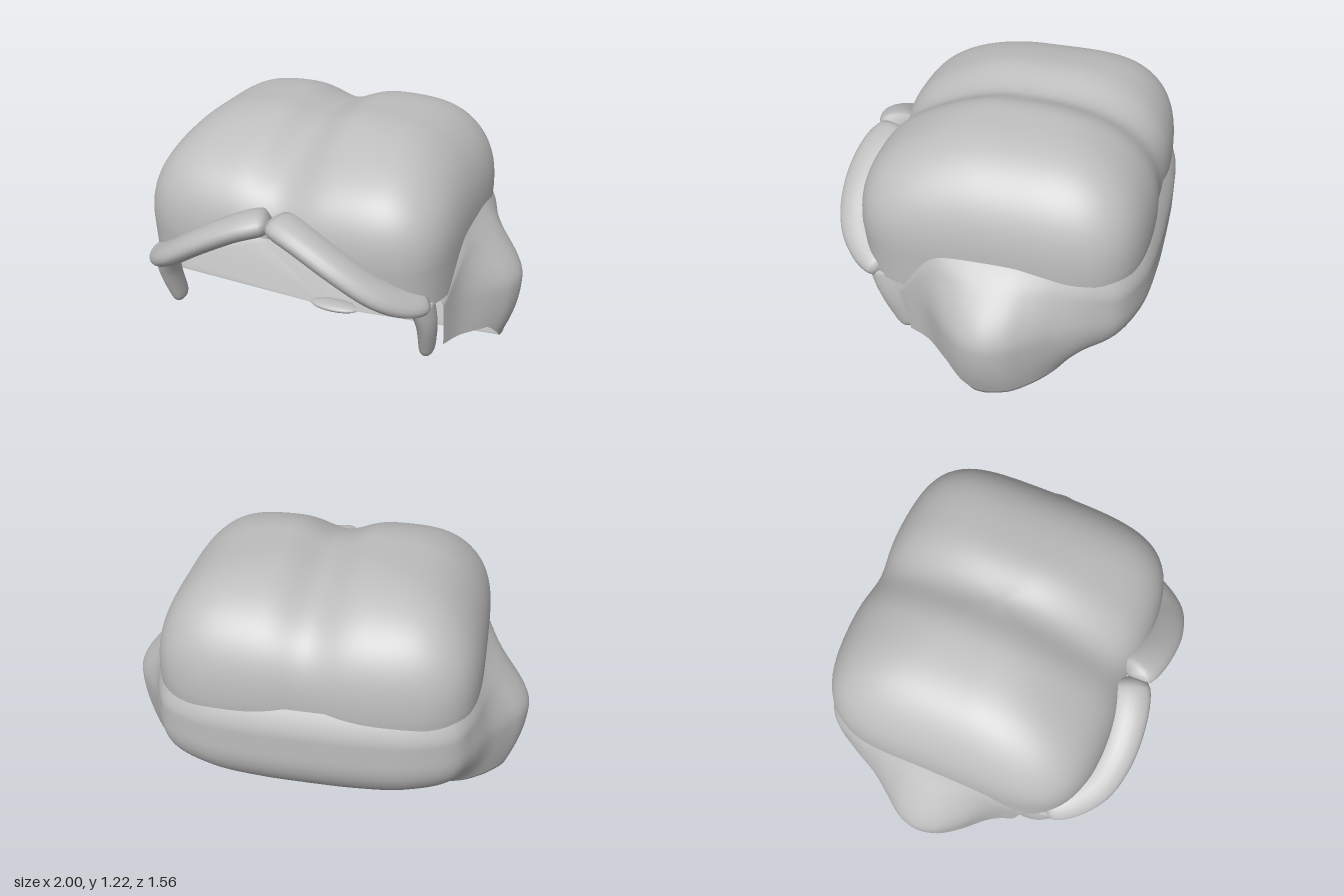
import * as THREE from 'three';
import { mergeVertices } from 'three/addons/utils/BufferGeometryUtils.js';

const { lerp, clamp, smoothstep } = THREE.MathUtils;

// Smooth surface from a rule fn(u, v) -> [x, y, z], with matching seams welded
function surface(cols, rows, fn) {
  const pos = [], index = [];
  for (let j = 0; j <= rows; j++)
    for (let i = 0; i <= cols; i++) pos.push(...fn(i / cols, j / rows));
  for (let j = 0; j < rows; j++)
    for (let i = 0; i < cols; i++) {
      const a = j * (cols + 1) + i, b = a + cols + 1;
      index.push(a, b, a + 1, a + 1, b, b + 1);
    }
  const g = new THREE.BufferGeometry();
  g.setAttribute('position', new THREE.Float32BufferAttribute(pos, 3));
  g.setIndex(index);
  const welded = mergeVertices(g, 1e-5);
  welded.computeVertexNormals();
  return welded;
}

// Lower rim of the cap: an arch over the face, lower at the sides
function capRim(x, z) {
  const ax = Math.abs(x);
  if (z < 0.2) return z < -0.5 ? 0.6 : 0.52;
  const arch = ax < 0.3 ? lerp(0.88, 0.78, ax / 0.3) : lerp(0.78, 0.51, (ax - 0.3) / 0.36);
  return Math.max(0.51, arch);
}

// Two-lobed rounded cap with a centre parting and a lower forehead
function capPoint(u, v) {
  const a = u * Math.PI * 2, c = Math.cos(a), s = Math.sin(a), n = 4.5;
  const r = 1 / (Math.abs(c) ** n + Math.abs(s) ** n) ** (1 / n);
  const ex = c * r * 0.765, ez = s * r * 0.69;
  let y;
  if (v <= 0.8) {
    const phi = (v / 0.8) * Math.PI / 2;
    y = 0.72 + 0.51 * Math.max(0, Math.cos(phi)) ** 0.83;
  } else y = lerp(0.72, 0.5, (v - 0.8) / 0.2);
  y = Math.max(y, capRim(ex, ez - 0.06));
  const h = clamp((y - 0.72) / 0.51, 0, 1);
  const rad = Math.max(0, 1 - h ** 2.45) ** (1 / 2.45);
  const x = ex * rad, z = ez * rad;
  const part = Math.exp(-((x / 0.14) ** 2));
  const under = y < 0.72 ? (0.72 - y) * 0.12 : 0;
  const shoulder = 0.03 * smoothstep(Math.abs(x), 0.25, 0.6);
  const forehead = 0.06 * smoothstep(z, 0.05, 0.55);
  return [
    x * (1 - under * 0.3),
    y + h * (0.01 - 0.07 * part + shoulder - forehead),
    z * (1 - 0.035 * part * rad) * (1 - under) - 0.06,
  ];
}

// Half outline of the lower shell from front to back: (base x, side bulge, z)
const outline = new THREE.CatmullRomCurve3([
  [0.735, 0, 0.37], [0.755, 0.03, 0.25], [0.76, 0.15, 0.1], [0.76, 0.215, 0],
  [0.76, 0.24, -0.1], [0.76, 0.215, -0.2], [0.755, 0.15, -0.3], [0.75, 0.085, -0.4],
  [0.73, 0.03, -0.55], [0.67, 0.01, -0.67], [0.5, 0, -0.75], [0.25, 0, -0.78], [0, 0, -0.785],
].map(p => new THREE.Vector3(...p)));

// Lower shell: wall around sides and back, then a floor gathered to one point
function shellPoint(u, v) {
  const side = u < 0.5 ? -1 : 1;
  const p = outline.getPoint(1 - Math.abs(u * 2 - 1));
  const back = smoothstep(-p.z, 0.2, 0.75);
  const bottom = p.z > -0.05
    ? lerp(0.11, 0.23, clamp((p.z + 0.05) / 0.15, 0, 1))
    : lerp(0.11, 0.16, clamp((-p.z - 0.1) / 0.5, 0, 1));
  const s = Math.min(1, v / 0.7);
  const top = 0.8 - 0.08 * back - 0.28 * clamp((p.z - 0.15) / 0.21, 0, 1) ** 1.5;
  const y = lerp(top, bottom, s);
  const k = clamp((0.79 - y) / 0.67, 0, 1);
  const swell = k < 0.55 ? smoothstep(k, -0.04, 0.55) : 1 - 0.28 * ((k - 0.55) / 0.45) ** 2;
  const inset = back * 0.22 * Math.max(0, (s - 0.4) / 0.6) ** 2.4
    + 0.05 * Math.max(0, 1 - s / 0.22) ** 1.6;
  let x = (p.x + p.y * swell) * (1 - inset);
  let z = p.z + inset * back - 0.05 * s * Math.max(0, p.z) / 0.35;
  let yy = y;
  if (v > 0.7 && p.z < -0.05) {
    const f = (v - 0.7) / 0.3;
    x = lerp(x, 0, f);
    yy = lerp(y, 0.02, f) - 0.012 * Math.sin(f * Math.PI) * back;
    z = lerp(z, -0.11, f);
  }
  return [side * x, yy, z];
}

// Rounded lock of hair along a path; w is half width, d is half depth
function lock(points, w, d, tip) {
  const curve = new THREE.CatmullRomCurve3(points.map(p => new THREE.Vector3(...p)));
  return surface(20, 28, (u, v) => {
    const p = curve.getPoint(v), t = curve.getTangent(v);
    const across = new THREE.Vector3(0, 0, 1).cross(t).normalize();
    const deep = new THREE.Vector3().crossVectors(t, across);
    const round = Math.sqrt(Math.max(0, 1 - Math.abs(2 * v - 1) ** 16));
    const size = round * lerp(1, tip, v), a = u * Math.PI * 2;
    p.addScaledVector(across, Math.cos(a) * w * size);
    p.addScaledVector(deep, Math.sin(a) * d * size);
    return [p.x, p.y, p.z];
  });
}

export function createModel() {
  const model = new THREE.Group();
  const grey = new THREE.MeshStandardMaterial({ color: 0xbdbdbd, side: THREE.DoubleSide });
  grey.name = 'plain grey';
  const add = (name, geometry) => {
    const mesh = new THREE.Mesh(geometry, grey);
    mesh.name = name;
    model.add(mesh);
    return mesh;
  };

  add('hairCap', surface(144, 50, capPoint));
  add('lowerShell', surface(160, 50, shellPoint));

  // Fringe and side locks, mirrored
  for (const [side, label] of [[1, 'left'], [-1, 'right']]) {
    const flip = pts => pts.map(([x, y, z]) => [x * side, y, z]);
    add(label + 'Fringe', lock(flip([
      [0.003, 0.875, 0.6], [0.15, 0.832, 0.65], [0.34, 0.735, 0.67],
      [0.5, 0.63, 0.635], [0.6, 0.565, 0.55], [0.665, 0.53, 0.44],
    ]), 0.063, 0.11, 0.8));
    add(label + 'SideLock', lock(flip([
      [0.65, 0.53, 0.45], [0.675, 0.4, 0.415], [0.665, 0.19, 0.34],
    ]), 0.06, 0.09, 0.6));
  }

  // Inner lining: front lip, roof and back wall, as [z, y, half width]
  const lining = [[0.54, 0.9, 0.45], [0.53, 0.73, 0.5], [-0.4, 0.73, 0.62],
    [-0.56, 0.34, 0.62], [-0.575, 0.3, 0.6], [-0.58, 0.28, 0.56]];
  for (let i = 0; i < lining.length - 1; i++) {
    const a = lining[i], b = lining[i + 1];
    add('innerLining' + (i + 1), surface(1, 1, (u, v) =>
      [(u * 2 - 1) * lerp(a[2], b[2], v), lerp(a[1], b[1], v), lerp(a[0], b[0], v)]));
  }

  // Small gathered knot under the floor
  const knot = add('underKnot', new THREE.SphereGeometry(1, 20, 12));
  knot.scale.set(0.14, 0.025, 0.06);
  knot.position.set(0, 0.025, -0.13);

  return model;
}
